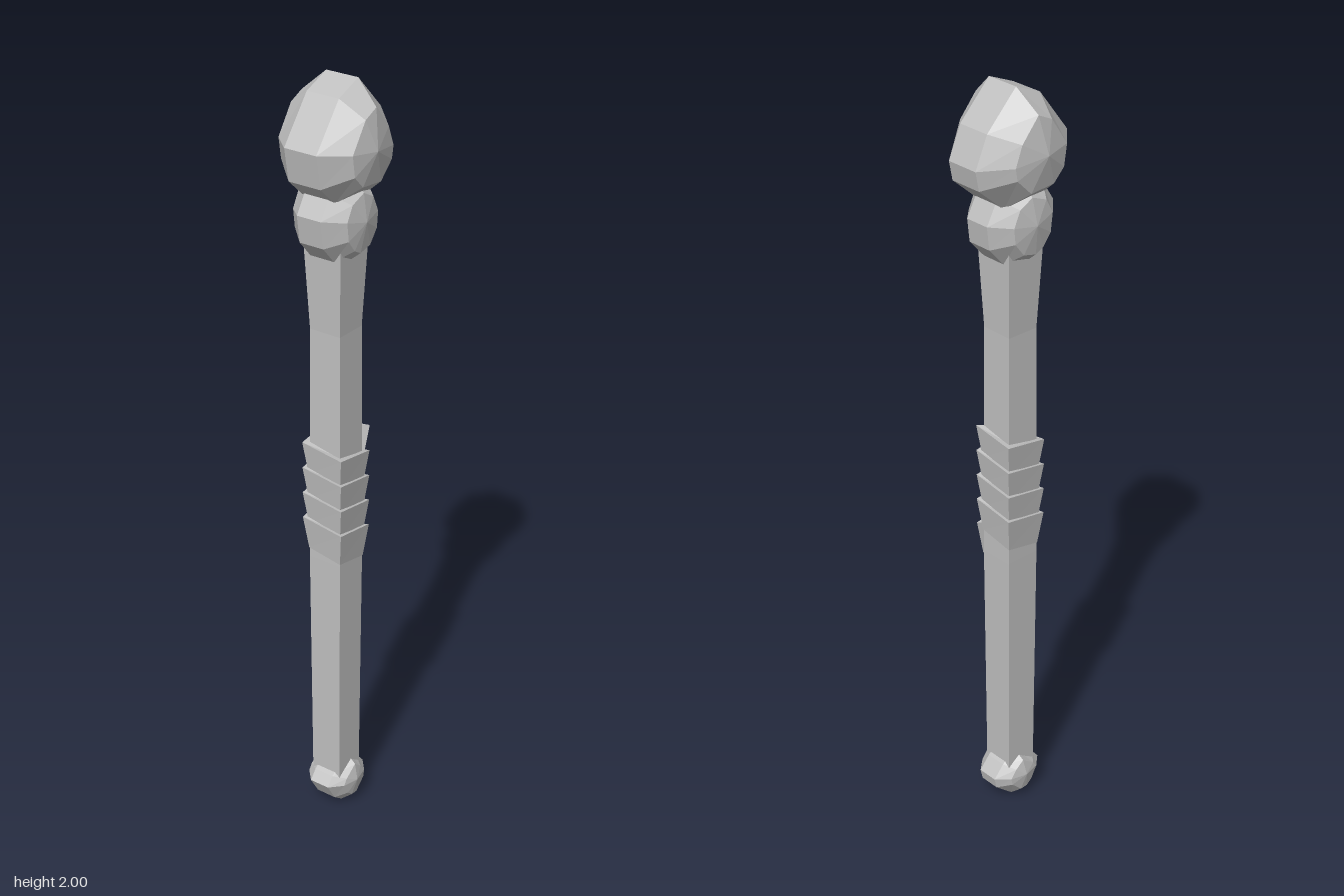
import * as THREE from 'three';

const grey = new THREE.MeshStandardMaterial({ color: 0xbfbfbf, flatShading: true, side: THREE.DoubleSide });
grey.name = 'plain grey';

const AXIS_X = -0.006; // the shaft sits slightly off centre

// Mesh from a flat list of quads and triangles, each an array of [x, y, z] corners
function facesMesh(name, faces) {
  const pos = [];
  for (const f of faces) {
    for (let i = 1; i < f.length - 1; i++) pos.push(...f[0], ...f[i], ...f[i + 1]);
  }
  const g = new THREE.BufferGeometry();
  g.setAttribute('position', new THREE.Float32BufferAttribute(pos, 3));
  g.computeVertexNormals();
  const m = new THREE.Mesh(g, grey);
  m.name = name;
  return m;
}

// Faceted stone: an outline facing the front (anticlockwise), shrunk to a point at front and back
function stone(name, outline, [cx, cy], zFull, zInner, zPole, sx, sy) {
  const ring = (z, kx, ky) => outline.map(([x, y]) => [cx + (x - cx) * kx, cy + (y - cy) * ky, z]);
  const rings = [
    ring(zPole, 0, 0), ring(zInner, sx, sy), ring(zFull, 1, 1),
    ring(-zFull, 1, 1), ring(-zInner, sx, sy), ring(-zPole, 0, 0),
  ];
  const faces = [];
  const n = outline.length;
  for (let r = 0; r < rings.length - 1; r++) {
    for (let i = 0; i < n; i++) {
      const j = (i + 1) % n;
      faces.push([rings[r][i], rings[r + 1][i], rings[r + 1][j], rings[r][j]]);
    }
  }
  return facesMesh(name, faces);
}

// Square shaft, flaring under the head
function shaft() {
  const profile = [[0.043, 0.06], [0.047, 0.75], [0.045, 1.15], [0.044, 1.38], [0.054, 1.6], [0.054, 1.68]];
  const pts = profile.map(([half, y]) => new THREE.Vector2(half * Math.SQRT2, y));
  const m = new THREE.Mesh(new THREE.LatheGeometry(pts, 4, Math.PI / 4), grey);
  m.name = 'shaft';
  m.position.x = AXIS_X;
  return m;
}

// Grip strap wound down the shaft, each turn standing proud at its top edge
function gripWrap() {
  const corners = [[1, 1], [1, -1], [-1, -1], [-1, 1]];
  const turns = 4, pitch = 0.07, height = 0.09, top = 1.11;
  const at = (step, half, drop) => {
    const [x, z] = corners[step % 4];
    return [AXIS_X + x * half, top - step * pitch / 4 - drop, z * half];
  };
  const faces = [];
  for (let s = 0; s < turns * 4; s++) {
    const section = (k) => [at(k, 0.048, height), at(k, 0.059, 0), at(k, 0.042, 0)];
    const a = section(s), b = section(s + 1);
    faces.push([a[0], b[0], b[1], a[1]], [a[1], b[1], b[2], a[2]]);
  }
  return facesMesh('gripWrap', faces);
}

export function createModel() {
  const model = new THREE.Group();
  model.name = 'club';
  model.add(
    shaft(),
    gripWrap(),
    stone('headStone', [
      [0.018, 2], [-0.055, 1.97], [-0.14, 1.86], [-0.125, 1.775], [-0.07, 1.725],
      [0.055, 1.715], [0.13, 1.78], [0.14, 1.83], [0.105, 1.91],
    ], [-0.012, 1.85], 0.045, 0.105, 0.123, 0.56, 0.64),
    stone('collarStone', [
      [0, 1.77], [-0.075, 1.745], [-0.11, 1.69], [-0.1, 1.62], [-0.06, 1.575], [-0.02, 1.557],
      [0.045, 1.57], [0.09, 1.62], [0.097, 1.68], [0.065, 1.74],
    ], [-0.008, 1.67], 0.034, 0.078, 0.091, 0.58, 0.68),
    stone('pommelStone', [
      [0.003, 0.14], [-0.06, 0.1], [-0.08, 0.075], [-0.05, 0.025], [-0.02, 0.002],
      [0.015, 0], [0.068, 0.045], [0.075, 0.075], [0.045, 0.11],
    ], [-0.004, 0.075], 0.028, 0.058, 0.069, 0.58, 0.66),
  );
  return model;
}
